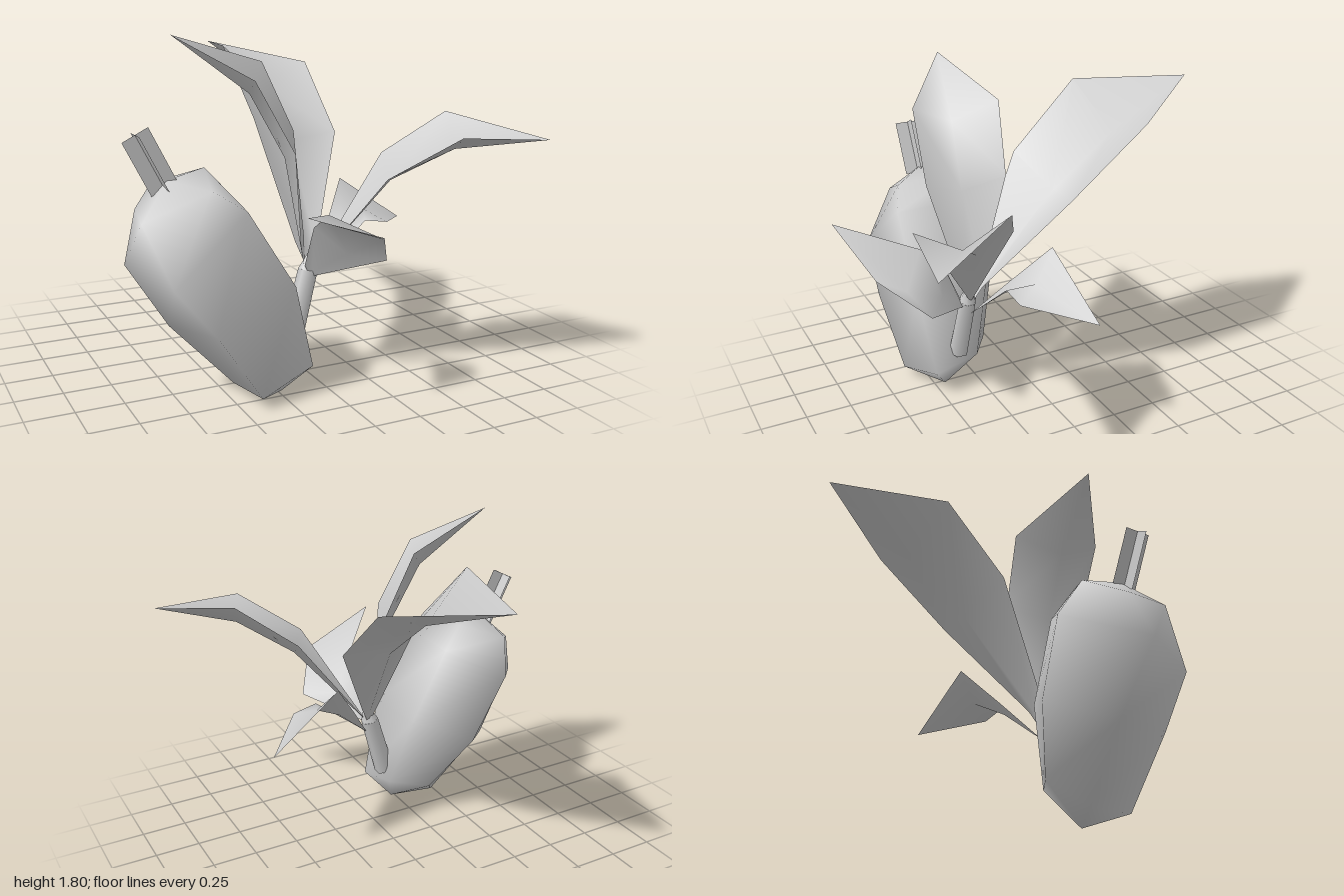
import * as THREE from 'three';

const grey = new THREE.MeshStandardMaterial({ color: 0xcccccc, side: THREE.DoubleSide });
grey.name = 'plain grey';

function meshFrom(name, points, index) {
  const g = new THREE.BufferGeometry();
  g.setAttribute('position', new THREE.Float32BufferAttribute(points.flat(), 3));
  g.setIndex(index);
  g.computeVertexNormals();
  const m = new THREE.Mesh(g, grey);
  m.name = name;
  return m;
}

// Leaf: folded blade; each row is [left edge, midrib, right edge] from root to tip
function leaf(name, base, rows, tip) {
  const points = [base, ...rows.flat(), tip];
  const index = [0, 1, 2, 0, 2, 3];
  for (let r = 0; r < rows.length - 1; r++) {
    for (let k = 1; k < 3; k++) {
      const a = r * 3 + k, b = a + 3;
      index.push(a, b, a + 1, a + 1, b, b + 1);
    }
  }
  const e = rows.length * 3 - 2, t = points.length - 1;
  index.push(e, t, e + 1, e + 1, t, e + 2);
  return meshFrom(name, points, index);
}

// Fruit: tilted, slightly uneven five-sided body.
// Corners of each ring: front left, front right, outer, back, inner (seen along the tilt)
function fruit() {
  const rings = [
    [[-0.1, 0.15, 0.54], [-0.41, 0.06, 0.62], [-0.45, 0.04, 0.33], [-0.33, 0.18, 0.15], [-0.13, 0.2, 0.28]],
    [[-0.22, 0.6, 0.59], [-0.66, 0.43, 0.665], [-0.77, 0.38, 0.28], [-0.53, 0.5, 0], [-0.22, 0.62, 0.17]],
    [[-0.47, 1.0, 0.59], [-0.86, 0.68, 0.65], [-1, 0.74, 0.33], [-0.72, 0.88, -0.03], [-0.42, 1.03, 0.15]],
    [[-0.62, 1.1, 0.52], [-0.95, 0.96, 0.46], [-0.92, 0.99, 0.26], [-0.78, 1.07, 0.08], [-0.54, 1.15, 0.2]],
  ];
  const n = 5, last = (rings.length - 1) * n, index = [];
  const points = rings.flat();
  const bottom = points.push([-0.23, 0, 0.44]) - 1;
  const top = points.push([-0.78, 1.13, 0.33]) - 1;
  for (let j = 0; j < n; j++) {
    const k = (j + 1) % n;
    for (let r = 0; r < last; r += n) {
      index.push(r + j, r + n + j, r + k, r + k, r + n + j, r + n + k);
    }
    index.push(bottom, j, k, top, last + k, last + j);
  }
  return meshFrom('fruit', points, index);
}

// Round section between two points
function rod(name, from, to, r0, r1) {
  const a = new THREE.Vector3(...from), b = new THREE.Vector3(...to);
  const d = b.clone().sub(a);
  const m = new THREE.Mesh(new THREE.CylinderGeometry(r1, r0, d.length(), 6), grey);
  m.position.copy(a).add(b).multiplyScalar(0.5);
  m.quaternion.setFromUnitVectors(new THREE.Vector3(0, 1, 0), d.normalize());
  m.name = name;
  return m;
}

export function createModel() {
  const model = new THREE.Group();
  model.name = 'fruitingPlant';
  model.add(fruit());

  // Fruit stem: two crossed plates
  const stem = new THREE.Group();
  stem.name = 'fruitStem';
  for (const turn of [0, Math.PI / 2]) {
    const plate = new THREE.Mesh(new THREE.PlaneGeometry(0.145, 0.3), grey);
    plate.rotation.y = turn;
    plate.name = 'stemPlate';
    stem.add(plate);
  }
  stem.position.set(-0.86, 1.225, 0.335);
  stem.rotation.z = 0.47;
  model.add(stem);

  // Stalk with a pointed bud
  model.add(rod('stalk', [-0.15, 0.24, 0.385], [-0.045, 0.6, 0.365], 0.058, 0.05));
  model.add(rod('bud', [-0.045, 0.6, 0.365], [-0.015, 0.72, 0.36], 0.05, 0.004));

  // Leaves
  model.add(leaf('backLeaf', [-0.03, 0.58, 0.35], [
    [[-0.09, 0.74, 0.31], [-0.02, 0.68, 0.31], [0.03, 0.7, 0.31]],
    [[-0.19, 1.35, 0.01], [0.07, 1.2, -0.09], [0.33, 1.23, -0.06]],
    [[-0.21, 1.7, -0.36], [0.07, 1.47, -0.44], [0.35, 1.58, -0.48]],
  ], [-0.06, 1.68, -0.99]));
  model.add(leaf('rightLeaf', [-0.06, 0.6, 0.36], [
    [[-0.1, 0.75, 0.4], [-0.08, 0.73, 0.35], [-0.03, 0.75, 0.29]],
    [[-0.19, 1.24, 0.52], [-0.16, 1.19, 0.33], [-0.02, 1.29, 0.14]],
    [[-0.39, 1.6, 0.5], [-0.335, 1.515, 0.3], [-0.18, 1.65, 0.1]],
  ], [-0.705, 1.805, 0.22]));
  model.add(leaf('leftLeaf', [-0.02, 0.6, 0.36], [
    [[0.41, 1.17, 0.31], [0.36, 1.06, 0.49], [0.23, 1.11, 0.68]],
    [[0.7, 1.39, 0.46], [0.62, 1.23, 0.67], [0.53, 1.32, 0.87]],
  ], [0.995, 1.29, 0.94]));
  model.add(leaf('frontLeaf', [-0.04, 0.57, 0.39], [
    [[-0.085, 0.64, 0.41], [-0.04, 0.6, 0.41], [0, 0.59, 0.43]],
    [[-0.08, 0.86, 0.5], [0.08, 0.72, 0.56], [0.235, 0.7, 0.68]],
    [[-0.06, 0.95, 0.62], [0.16, 0.84, 0.78], [0.08, 0.89, 0.91]],
  ], [-0.36, 1.05, 0.99]));
  model.add(leaf('smallLeaf', [-0.02, 0.53, 0.36], [
    [[0.14, 0.76, 0.2], [0.2, 0.73, 0.26], [0.32, 0.81, 0.31]],
    [[0.31, 0.99, 0.04], [0.38, 0.84, 0.17], [0.46, 0.785, 0.3]],
  ], [0.715, 0.72, -0.01]));
  return model;
}
